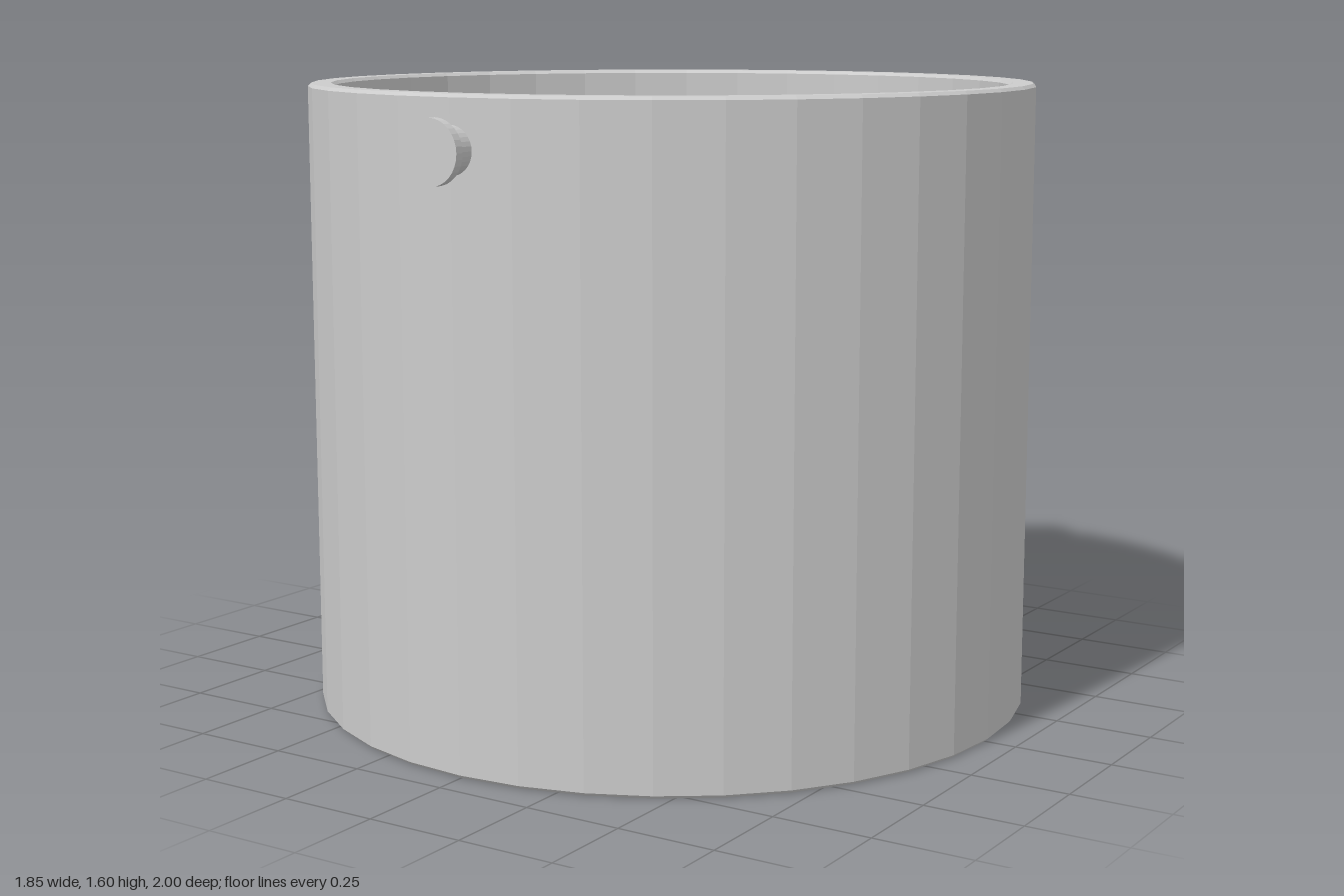
import * as THREE from 'three';

const material = new THREE.MeshStandardMaterial({ color: 0xcccccc, flatShading: true });

// Faceted solid of revolution; the profile runs from the bottom centre outward and up
function turned(name, profile, sides) {
  const points = profile.map(([r, y]) => new THREE.Vector2(r, y));
  const mesh = new THREE.Mesh(new THREE.LatheGeometry(points, sides), material);
  mesh.name = name;
  return mesh;
}

export function createModel() {
  const group = new THREE.Group();
  group.name = 'bucket';

  const radius = 0.925, height = 1.6, wall = 0.065, bevel = 0.008;
  const inner = radius - wall;

  // Open vessel with thick wall, floor and small bevels on its edges
  group.add(turned('vessel', [
    [0, 0], [radius - bevel, 0], [radius, bevel],
    [radius, height - bevel], [radius - bevel, height],
    [inner + bevel, height], [inner, height - bevel],
    [inner, wall + bevel], [inner - bevel, wall], [0, wall],
  ], 36));

  // Handle pins on front and back: a short stem with a wider end cap
  for (const [name, side] of [['frontPin', 1], ['backPin', -1]]) {
    const pin = turned(name, [
      [0, 0], [0.058, 0], [0.058, 0.087], [0.077, 0.087], [0.077, 0.11], [0, 0.11],
    ], 32);
    pin.position.set(0, 1.473, side * 0.89);
    pin.rotation.x = side * Math.PI / 2;
    group.add(pin);
  }
  return group;
}
